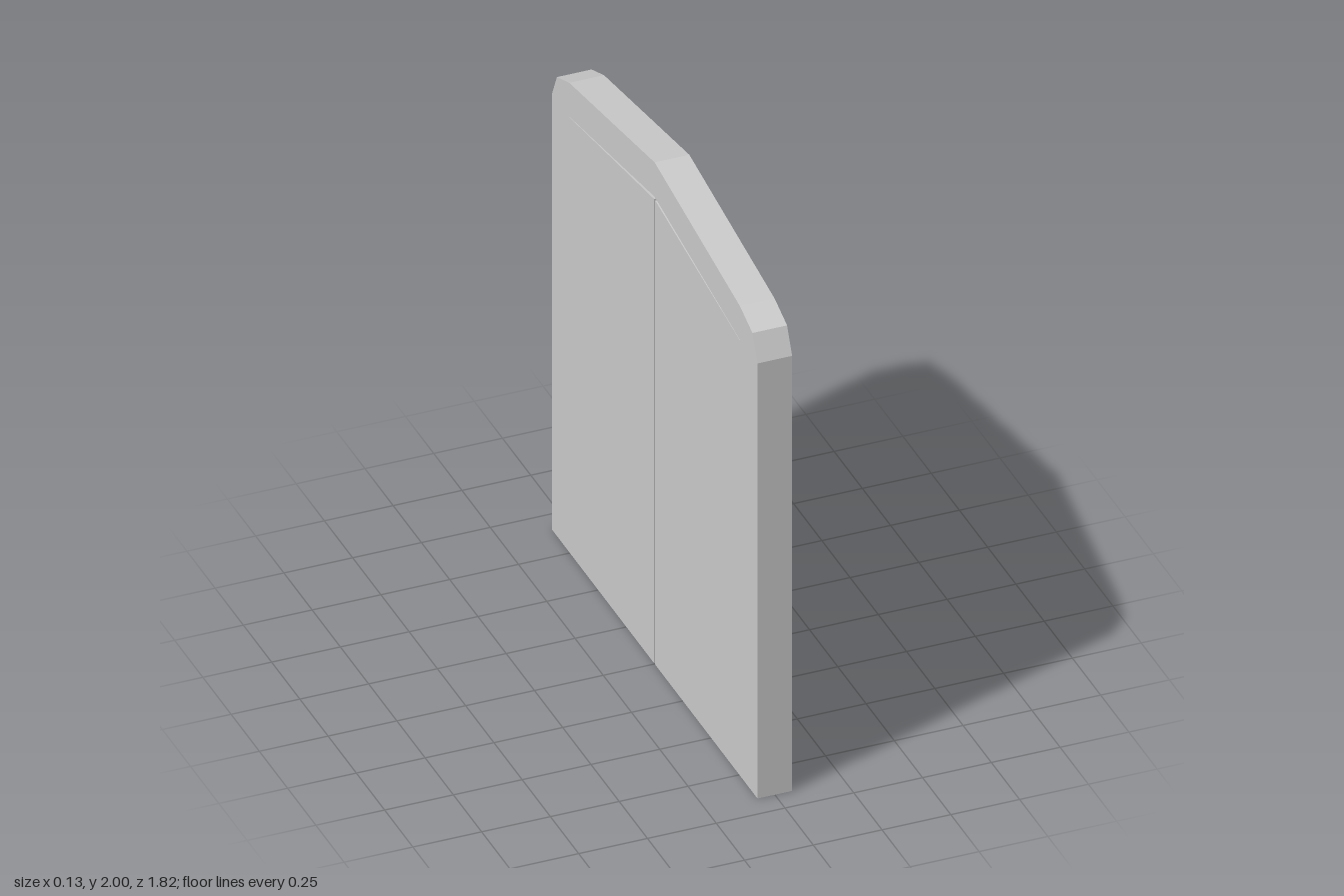
import * as THREE from 'three';

const BACK = -0.063, DEPTH = 0.126, DOOR_DEPTH = 0.055;
const grey = new THREE.MeshStandardMaterial({ color: 0xcccccc, flatShading: true });
const dark = new THREE.MeshStandardMaterial({ color: 0x333333, flatShading: true });

// Extrudes an outline drawn in the (-z, y) plane along +x, starting at the back face
function slab(name, points, depth) {
  const shape = new THREE.Shape(points.map(([u, y]) => new THREE.Vector2(u, y)));
  const geometry = new THREE.ExtrudeGeometry(shape, { depth, bevelEnabled: false });
  geometry.translate(0, 0, BACK).rotateY(Math.PI / 2);
  const mesh = new THREE.Mesh(geometry, grey);
  mesh.name = name;
  return mesh;
}

export function createModel() {
  const model = new THREE.Group();
  model.name = 'doubleDoor';

  // Frame: peaked arch, open at the floor
  const outer = [[0.91, 0], [0.91, 1.735], [0.865, 1.83], [0.755, 1.872]];
  const inner = [[0.755, 0], [0.755, 1.737]];
  const mirror = (points) => points.map(([u, y]) => [-u, y]).reverse();
  model.add(slab('frame', [
    ...outer, [0, 2], ...mirror(outer),
    ...mirror(inner).reverse(), [0, 1.863], ...[...inner].reverse(),
  ], DEPTH));

  // Two leaves flush with the back, each with a handle on the recessed side
  for (const side of [1, -1]) {
    const leaf = new THREE.Group();
    leaf.name = side > 0 ? 'rearDoor' : 'frontDoor';
    const outline = [[0.005, 0], [0.755, 0], [0.755, 1.735], [0.005, 1.851]];
    leaf.add(slab('doorPanel', outline.map(([u, y]) => [u * side, y]), DOOR_DEPTH));

    const handle = new THREE.Mesh(new THREE.BoxGeometry(0.02, 0.04, 0.114), dark);
    handle.name = 'handle';
    handle.position.set(BACK + DOOR_DEPTH + 0.01, 0.955, side > 0 ? -0.088 : 0.097);
    leaf.add(handle);
    model.add(leaf);
  }
  return model;
}
